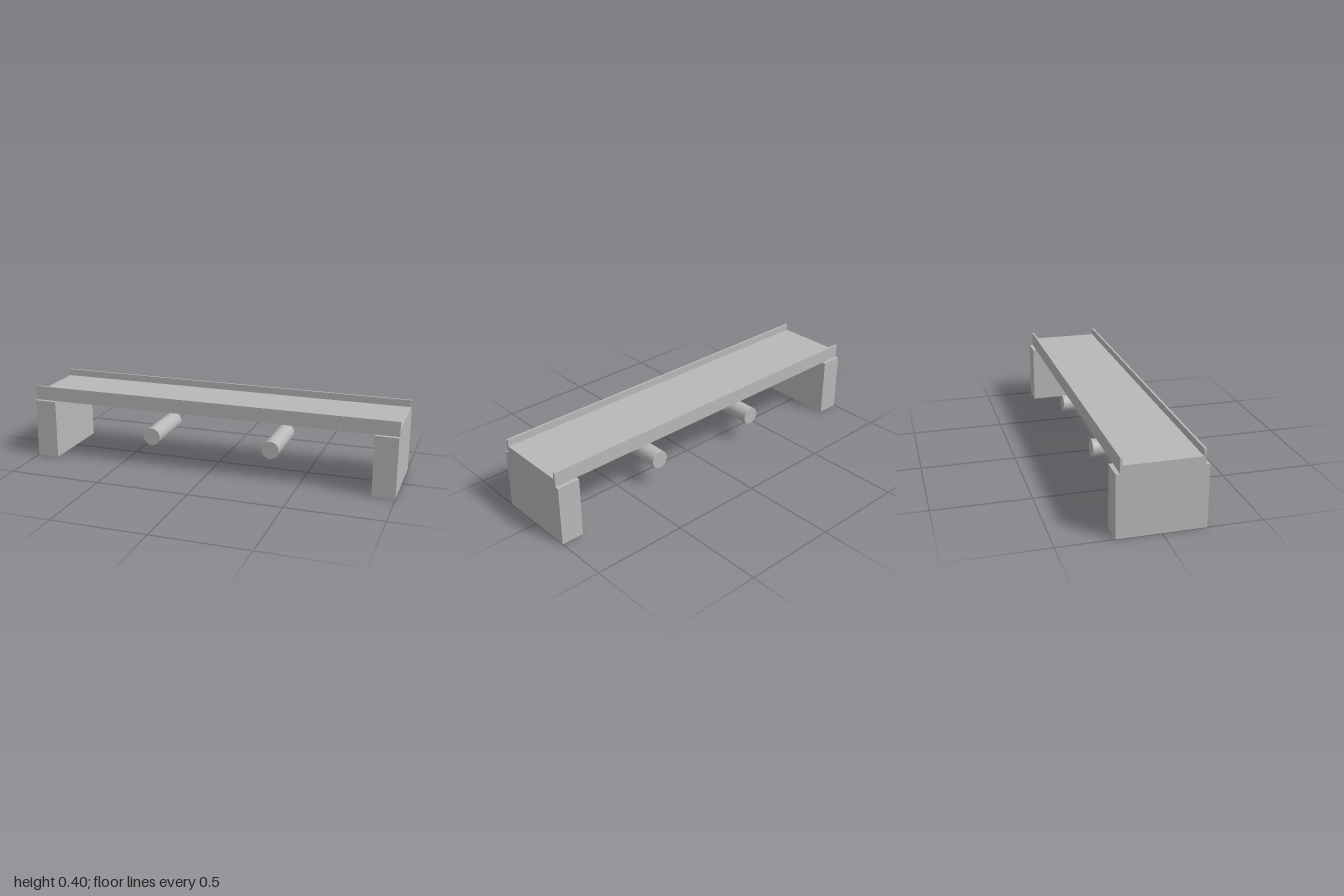
import * as THREE from 'three';

export function createModel() {
  const model = new THREE.Group();
  model.name = 'bridge';
  const grey = new THREE.MeshStandardMaterial({ color: 0xb8b8b8 });
  grey.name = 'plain grey';

  const add = (name, geometry, x, y, z) => {
    const mesh = new THREE.Mesh(geometry, grey);
    mesh.name = name;
    mesh.position.set(x, y, z);
    model.add(mesh);
    return mesh;
  };

  // Flat deck spanning the full length
  const base = 0.32, deckTop = 0.36, railTop = 0.397;
  add('deck', new THREE.BoxGeometry(2, deckTop - base, 0.378), 0, (base + deckTop) / 2, 0);

  for (const side of [-1, 1]) {
    const label = side > 0 ? 'left' : 'right';

    // Thin parapet along each long edge
    add(side > 0 ? 'frontParapet' : 'backParapet',
      new THREE.BoxGeometry(2, railTop - base, 0.011), 0, (base + railTop) / 2, side * 0.1945);

    // Solid abutment under each end, slightly wider than the deck
    add(label + 'Abutment', new THREE.BoxGeometry(0.12, base, 0.44), side * 0.94, base / 2, 0);

    // Round bar lying across the span
    const bar = add(label + 'Bar', new THREE.CylinderGeometry(0.047, 0.047, 0.32, 32), side * 0.333, 0.16, 0);
    bar.rotation.x = Math.PI / 2;
  }
  return model;
}
